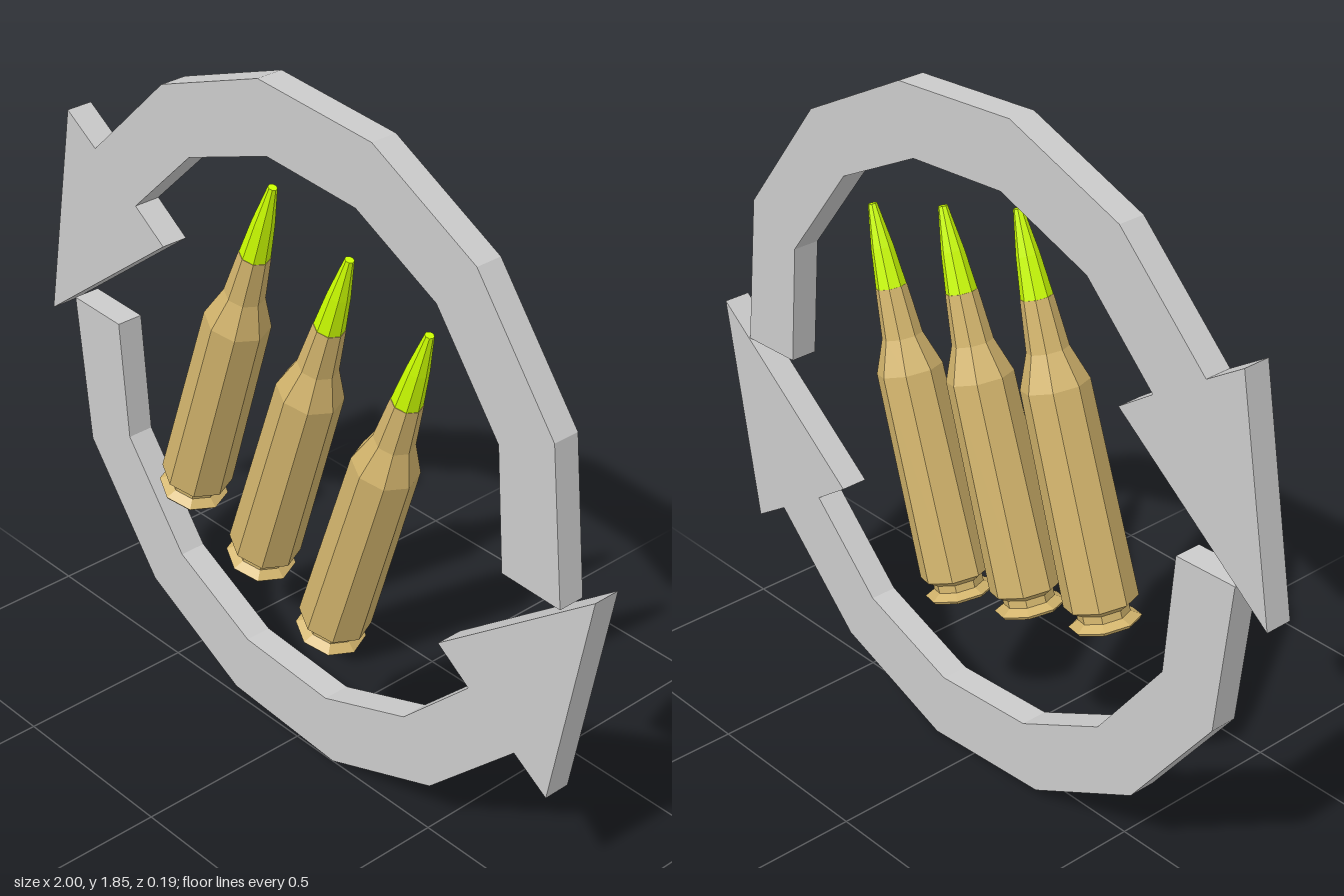
import * as THREE from 'three';

const TILT = 0.315;      // lean of the cartridges towards +x
const CENTER_Y = 0.93;   // middle of the arrow ring

const material = (color) => new THREE.MeshStandardMaterial({ color, flatShading: true });

function lathe(name, profile, mat) {
  const points = profile.map(([r, y]) => new THREE.Vector2(r, y));
  const mesh = new THREE.Mesh(new THREE.LatheGeometry(points, 8), mat);
  mesh.name = name;
  return mesh;
}

function createCartridge(brass, tipMat) {
  const cartridge = new THREE.Group();
  cartridge.name = 'cartridge';
  // rim, groove, tapered body, shoulder and neck
  cartridge.add(lathe('casing', [
    [0, 0], [0.086, 0], [0.092, 0.008], [0.066, 0.023], [0.066, 0.043], [0.094, 0.06],
    [0.086, 0.618], [0.053, 0.706], [0.041, 0.836], [0, 0.836],
  ], brass));
  // pointed bullet
  cartridge.add(lathe('bulletTip', [[0.04, 0.834], [0.029, 0.94], [0.012, 1.052], [0, 1.052]], tipMat));
  cartridge.rotation.z = -TILT;
  return cartridge;
}

export function createModel() {
  const model = new THREE.Group();
  model.name = 'cartridgesInArrowRing';
  const grey = material(0xcccccc);
  const brass = material(0xd2b46c);
  const tipMat = material(0xccff00);

  // curved arrow outline: head, outer arc, tail, inner arc
  const outline = [
    [-1, 0.895], [-0.89, 1.52], [-0.78, 1.449], [-0.5, 1.721], [-0.14, 1.856], [0.25, 1.83],
    [0.592, 1.651], [0.85, 1.315], [0.897, 0.892], [0.711, 0.898], [0.682, 1.234],
    [0.47, 1.51], [0.2, 1.647], [-0.11, 1.667], [-0.4, 1.56], [-0.62, 1.345], [-0.512, 1.27],
  ].map(([x, y]) => new THREE.Vector2(x, y - CENTER_Y));
  const arrowGeometry = new THREE.ExtrudeGeometry(new THREE.Shape(outline), { depth: 0.075, bevelEnabled: false });

  // two arrows, half a turn apart
  ['upperArrow', 'lowerArrow'].forEach((name, i) => {
    const arrow = new THREE.Mesh(arrowGeometry, grey);
    arrow.name = name;
    arrow.position.set(0, CENTER_Y, -0.075);
    arrow.rotation.z = i * Math.PI;
    model.add(arrow);
  });

  // row of three cartridges, side by side
  for (let i = 0; i < 3; i++) {
    const cartridge = createCartridge(brass, tipMat);
    cartridge.position.set(-0.414 + i * 0.27, 0.594 - i * 0.087, 0);
    model.add(cartridge);
  }
  return model;
}
